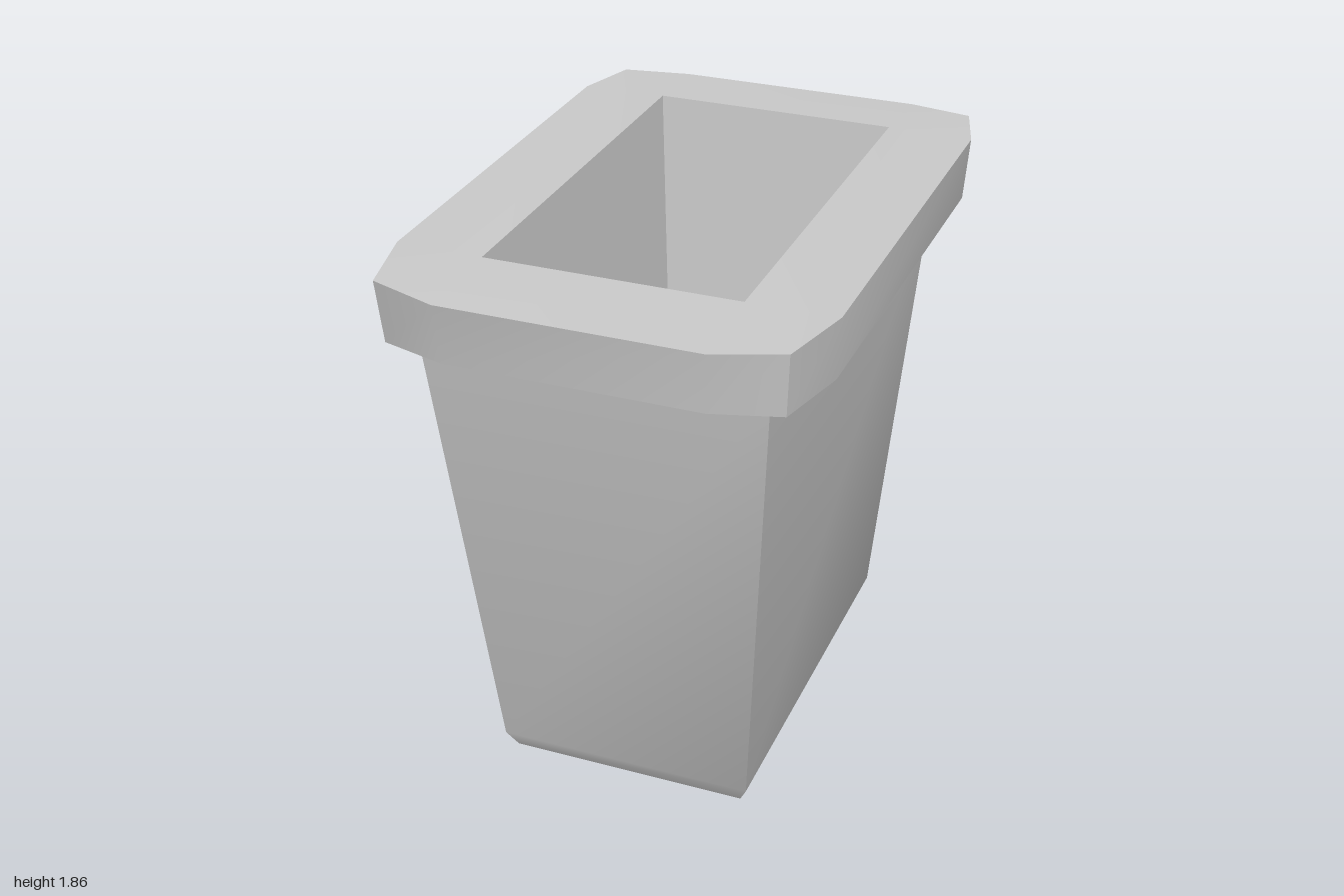
import * as THREE from 'three';
import { toCreasedNormals } from 'three/addons/utils/BufferGeometryUtils.js';

const material = new THREE.MeshStandardMaterial({ color: 0xcccccc });

// Rectangle ring; each corner is tripled so it pairs with the 12-point rim outline
function rect(y, hx, hz, cz = 0) {
  return [[1, 1], [-1, 1], [-1, -1], [1, -1]].flatMap(([sx, sz]) =>
    [0, 1, 2].map(() => new THREE.Vector3(sx * hx, y, cz + sz * hz)));
}

// Rim outline: long sides and ends joined by faceted rounded corners
function rimRing(yEnd, ySide, scale) {
  const ring = [];
  for (const [sx, sz] of [[1, 1], [-1, 1], [-1, -1], [1, -1]]) {
    const corner = [[0.695, sz > 0 ? 0.675 : 0.73, ySide], [0.633, 0.937, ySide], [0.415, 1, yEnd]]
      .map(([x, z, y]) => new THREE.Vector3(sx * x * scale, y, sz * z * scale));
    ring.push(...(sx * sz > 0 ? corner : corner.reverse()));
  }
  return ring;
}

// Skin successive rings, skipping collapsed triangles
function loft(name, rings) {
  const pos = [];
  const tri = (a, b, c) => {
    if (new THREE.Triangle(a, b, c).getArea() > 1e-7) {
      for (const p of [a, b, c]) pos.push(p.x, p.y, p.z);
    }
  };
  for (let i = 0; i < rings.length - 1; i++) {
    const r = rings[i], s = rings[i + 1], n = r.length;
    for (let j = 0; j < n; j++) {
      const k = (j + 1) % n;
      tri(r[j], s[j], r[k]);
      tri(r[k], s[j], s[k]);
    }
  }
  const geometry = new THREE.BufferGeometry();
  geometry.setAttribute('position', new THREE.Float32BufferAttribute(pos, 3));
  const mesh = new THREE.Mesh(toCreasedNormals(geometry, 0.6), material);
  mesh.name = name;
  return mesh;
}

export function createModel() {
  const group = new THREE.Group();
  group.name = 'taperedBin';

  // Tapered body with a bevelled foot
  group.add(loft('body', [
    rect(0, 0, 0),
    rect(0, 0.34, 0.575),
    rect(0.027, 0.4, 0.635),
    rect(0.09, 0.43, 0.667),
    rect(1.655, 0.55, 0.85),
  ]));

  // Overhanging rim: underside, flared band, top face
  group.add(loft('rim', [
    rect(1.655, 0.55, 0.85),
    rimRing(1.655, 1.655, 0.98),
    rimRing(1.85, 1.86, 1),
    rect(1.862, 0.41, 0.71, -0.025),
  ]));

  // Tapered cavity and its floor
  group.add(loft('cavity', [
    rect(1.862, 0.41, 0.71, -0.025),
    rect(0.9, 0.35, 0.605, -0.025),
    rect(0.9, 0, 0, -0.025),
  ]));

  return group;
}
